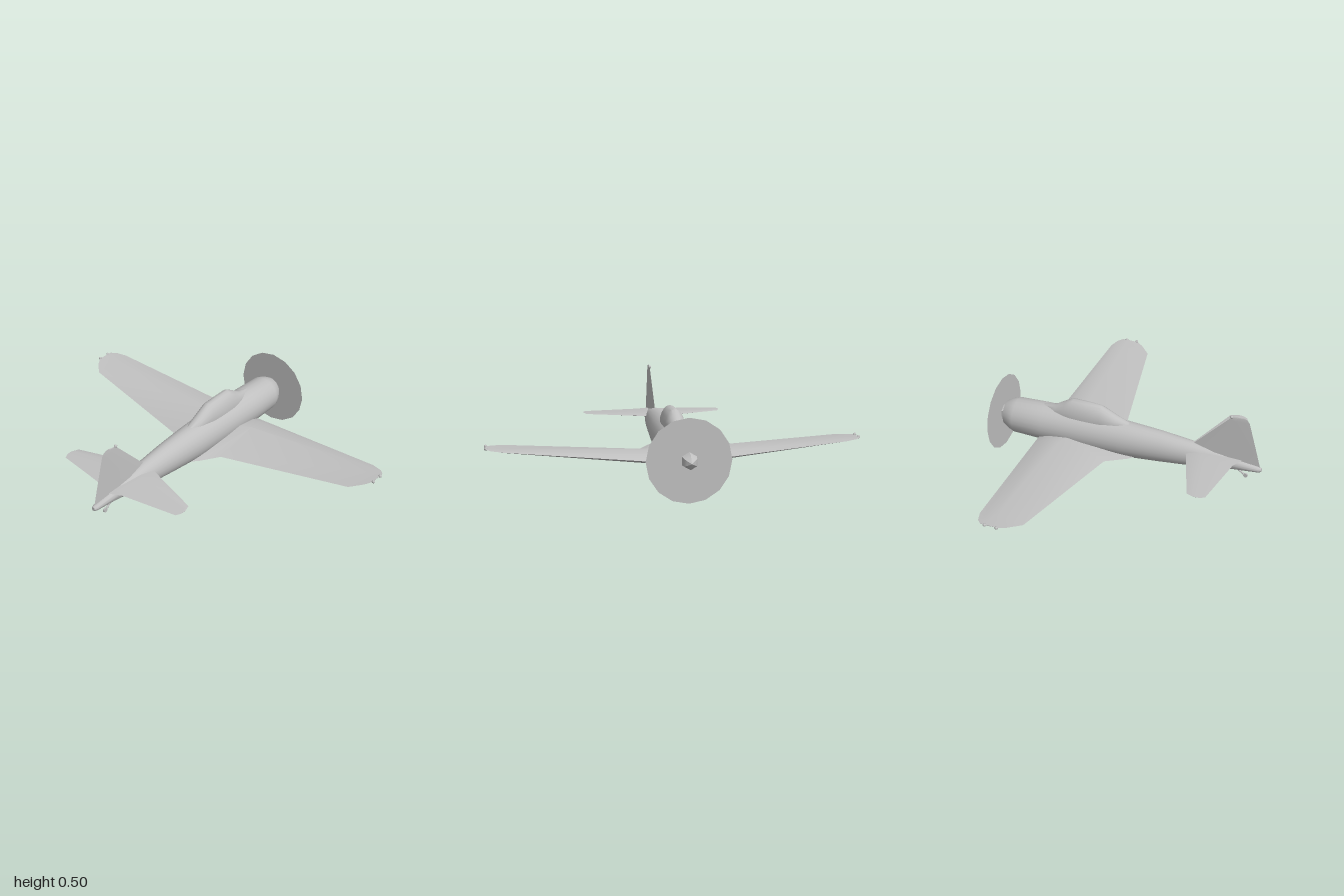
import * as THREE from 'three';
import { toCreasedNormals } from 'three/addons/utils/BufferGeometryUtils.js';

// Skin between successive closed rings of [x, y, z] points, with both ends capped
function loft(rings, crease = 0.6) {
  const n = rings[0].length, index = [], last = (rings.length - 1) * n;
  for (let i = 0; i < rings.length - 1; i++) {
    for (let j = 0; j < n; j++) {
      const k = (j + 1) % n, a = i * n, b = a + n;
      index.push(a + j, b + j, b + k, a + j, b + k, a + k);
    }
  }
  for (let j = 1; j < n - 1; j++) {
    index.push(0, j, j + 1, last, last + j + 1, last + j);
  }
  const g = new THREE.BufferGeometry();
  g.setAttribute('position', new THREE.Float32BufferAttribute(rings.flat(2), 3));
  g.setIndex(index);
  return toCreasedNormals(g, crease);
}

// Oval ring across the x axis
function oval(x, bottom, top, halfWidth, sides = 24) {
  const cy = (top + bottom) / 2, ry = (top - bottom) / 2;
  return Array.from({ length: sides }, (_, i) => {
    const t = (i / sides) * Math.PI * 2;
    return [x, cy + ry * Math.sin(t), halfWidth * Math.cos(t)];
  });
}

// Aerofoil ring at span z: leading edge, underside, trailing edge, upper side
function foil([z, le, yLe, te, yTe, under, upper]) {
  const at = (f) => le + (te - le) * f;
  return [
    [le, yLe, z], [at(0.12), (yLe + under) / 2 - 0.15 * (yLe - under), z], [at(0.35), under, z],
    [te, yTe, z], [at(0.35), upper, z], [at(0.12), (yLe + upper) / 2 + 0.15 * (upper - yLe), z],
  ];
}

// Both halves of a wing from root-to-tip stations
function wingPair(stations) {
  const left = stations.map(([z, ...r]) => [-z, ...r]).reverse();
  return loft([...left, ...stations].map(foil), 0.5);
}

export function createModel() {
  const model = new THREE.Group();
  const grey = new THREE.MeshStandardMaterial({ color: 0xc0c0c0 });
  grey.name = 'paleGrey';
  grey.side = THREE.DoubleSide;
  const add = (name, geometry, x = 0, y = 0, z = 0) => {
    const m = new THREE.Mesh(geometry, grey);
    m.name = name;
    m.position.set(x, y, z);
    model.add(m);
    return m;
  };

  // Fuselage: x, bottom, top, half width
  add('fuselage', loft([
    [-0.797, 0.192, 0.213, 0.01], [-0.78, 0.186, 0.22, 0.018], [-0.64, 0.173, 0.242, 0.026],
    [-0.41, 0.143, 0.287, 0.058], [-0.23, 0.126, 0.307, 0.073], [-0.03, 0.11, 0.32, 0.087],
    [0.2, 0.107, 0.325, 0.095], [0.45, 0.108, 0.328, 0.101], [0.63, 0.117, 0.32, 0.1],
    [0.665, 0.13, 0.31, 0.088], [0.7, 0.147, 0.29, 0.066],
  ].map((s) => oval(...s))));

  // Canopy: x, bottom, top, half width
  add('canopy', loft([
    [-0.05, 0.28, 0.316, 0.02], [0.03, 0.25, 0.35, 0.04], [0.12, 0.22, 0.396, 0.052],
    [0.2, 0.2, 0.401, 0.055], [0.29, 0.2, 0.403, 0.055], [0.33, 0.22, 0.382, 0.052],
    [0.39, 0.25, 0.345, 0.042], [0.47, 0.29, 0.327, 0.01],
  ].map((s) => oval(...s, 20))));

  // Wings: z, leading x and y, trailing x and y, underside y, upper y
  add('wings', wingPair([
    [0.03, 0.47, 0.157, -0.12, 0.145, 0.12, 0.2],
    [0.085, 0.468, 0.16, -0.065, 0.145, 0.126, 0.203],
    [0.155, 0.465, 0.165, 0.047, 0.145, 0.135, 0.203],
    [0.9, 0.42, 0.228, 0.18, 0.219, 0.217, 0.232],
    [0.96, 0.4, 0.233, 0.24, 0.23, 0.229, 0.236],
    [0.985, 0.375, 0.236, 0.28, 0.235, 0.234, 0.238],
  ]));

  add('tailplane', wingPair([
    [0.01, -0.36, 0.243, -0.685, 0.24, 0.23, 0.257],
    [0.07, -0.395, 0.243, -0.655, 0.241, 0.233, 0.254],
    [0.39, -0.505, 0.244, -0.605, 0.244, 0.242, 0.247],
    [0.405, -0.545, 0.245, -0.575, 0.245, 0.244, 0.246],
  ]));

  // Fin: y, leading x, trailing x, half thickness
  add('tailFin', loft([
    [0.215, -0.36, -0.788, 0.014], [0.29, -0.42, -0.768, 0.011], [0.48, -0.6, -0.715, 0.004],
    [0.497, -0.615, -0.703, 0.003], [0.505, -0.66, -0.685, 0.002],
  ].map(([y, le, te, w]) => {
    const mid = le + (te - le) * 0.35;
    return [[le, y, 0], [mid, y, w], [te, y, 0], [mid, y, -w]];
  })));

  // Spinning propeller disc, seen from both sides
  const disc = add('propellerDisc', new THREE.CircleGeometry(0.217, 16), 0.72, 0.22, 0);
  disc.rotation.y = Math.PI / 2;

  // Spinner on the nose
  add('spinner', loft([
    [0.69, 0.176, 0.268, 0.04], [0.705, 0.177, 0.267, 0.04], [0.76, 0.183, 0.259, 0.034],
    [0.775, 0.195, 0.246, 0.022], [0.795, 0.219, 0.222, 0.001],
  ].map(([x, b, t, w]) => oval(x, b, t, w, 6).map(([px, py, pz]) => {
    // Turn the hexagon so a corner points up
    const cy = (b + t) / 2, r = (t - b) / 2;
    const a = Math.atan2((py - cy) / r, pz / w) + Math.PI / 6;
    return [px, cy + r * Math.sin(a), r * Math.cos(a)];
  })), 0.7));

  // Belly intake
  add('bellyIntake', new THREE.BoxGeometry(0.145, 0.04, 0.07), 0.272, 0.108, 0);

  // Tail wheel on a raked strut
  const strut = add('tailWheelStrut', new THREE.CylinderGeometry(0.005, 0.005, 0.075, 8), -0.68, 0.168, 0);
  strut.rotation.z = -0.95;
  const wheel = add('tailWheel', new THREE.CylinderGeometry(0.012, 0.012, 0.01, 12), -0.712, 0.147, 0);
  wheel.rotation.x = Math.PI / 2;

  // Navigation lights
  const bulb = new THREE.SphereGeometry(0.009, 10, 8);
  for (const z of [-0.987, 0.987]) {
    for (const x of [0.285, 0.35]) add('wingTipLight', bulb, x, 0.236, z);
  }
  add('finLight', bulb, -0.615, 0.498, 0);

  return model;
}
